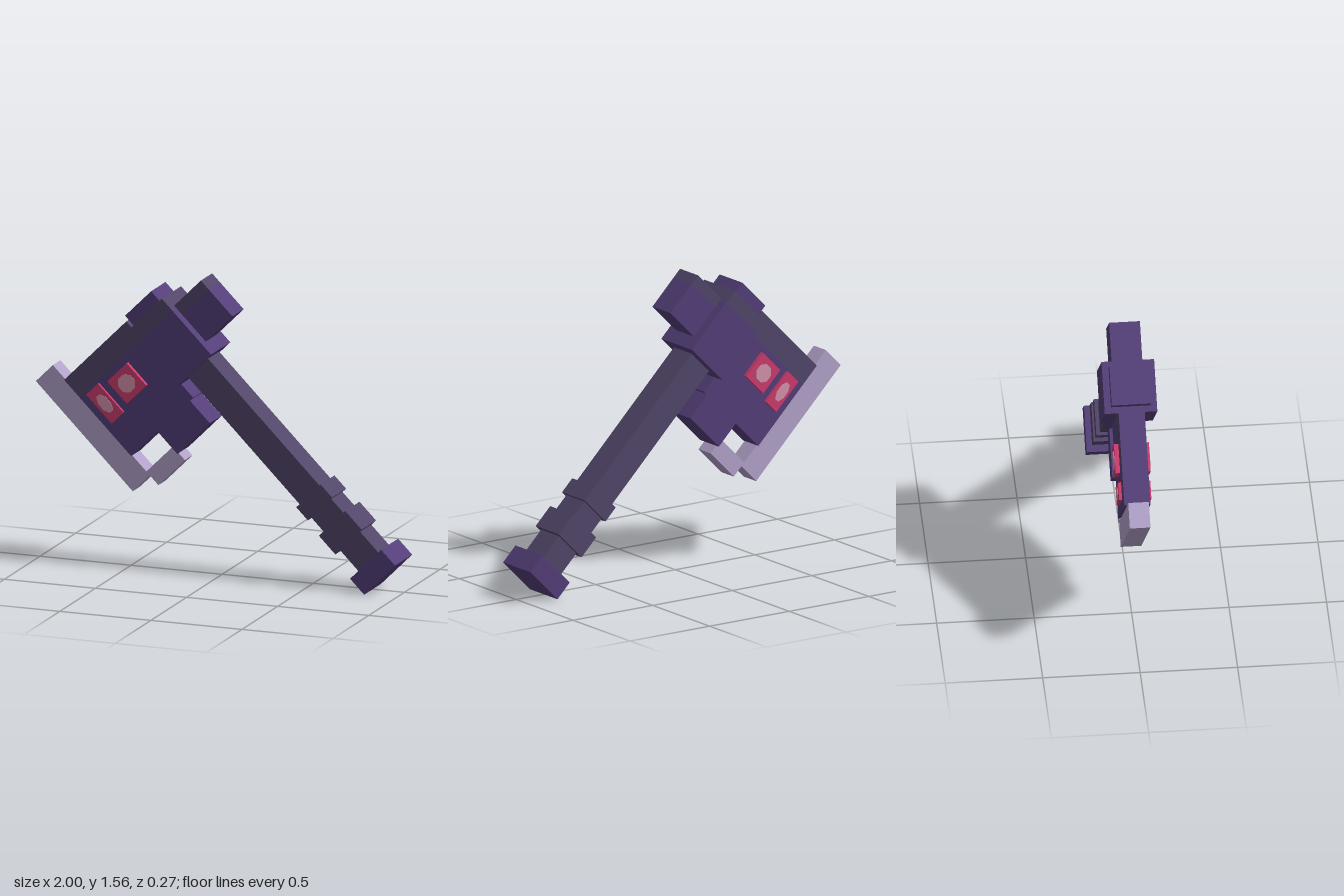
import * as THREE from 'three';

const mat = (name, color) => {
  const m = new THREE.MeshStandardMaterial({ color });
  m.name = name;
  m.flatShading = true;
  return m;
};

export function createModel() {
  const purple = mat('deep purple', 0x543f79);
  const grey = mat('grey purple', 0x52466a);
  const lavender = mat('pale lavender', 0xb2a2ca);
  const red = mat('crimson', 0xcd3c6e);
  const pink = mat('dusty pink', 0xd592ab);

  const model = new THREE.Group();
  model.name = 'axe';
  // Local x runs down the handle, local y runs from blade to back of the head
  const axe = new THREE.Group();
  axe.name = 'tiltedAxe';
  axe.rotation.z = -Math.PI / 4;
  model.add(axe);

  // Box from u0..u1 along the handle, v0..v1 across it, and half depth d
  const block = (name, u0, u1, v0, v1, d, material) => {
    const mesh = new THREE.Mesh(new THREE.BoxGeometry(u1 - u0, v1 - v0, 2 * d), material);
    mesh.name = name;
    mesh.position.set((u0 + u1) / 2, (v0 + v1) / 2, 0);
    axe.add(mesh);
  };

  // Block whose sides have a grey band next to the purple upper end
  const banded = (name, u0, u1, v0, v1, d, band) => {
    block(name + 'Band', u0, u0 + band, v0, v1, d, [grey, purple, grey, grey, grey, grey]);
    block(name, u0 + band, u1, v0, v1, d, purple);
  };

  // Handle, grip rings and pommel
  block('handle', -0.853, 0.471, 0.632, 0.786, 0.078, grey);
  block('upperGripRing', 0.013, 0.103, 0.616, 0.804, 0.098, grey);
  block('lowerGripRing', 0.199, 0.327, 0.607, 0.811, 0.101, grey);
  block('pommel', 0.471, 0.58, 0.588, 0.828, 0.12, purple);

  // Head, from blade side to hammer side
  banded('headBody', -1.28, -0.76, 0.09, 0.572, 0.067, 0.12);
  banded('collar', -1.235, -0.853, 0.572, 0.841, 0.135, 0.08);
  banded('hammerBack', -1.17, -0.925, 0.841, 1.048, 0.079, 0.06);
  block('topCap', -1.303, -1.235, 0.605, 0.807, 0.101, purple);
  block('lowerLug', -0.76, -0.605, 0.302, 0.555, 0.083, purple);

  // Pale cutting edge and its hooked beard
  block('bladeEdge', -1.376, -0.624, -0.041, 0.091, 0.053, lavender);
  block('bladeBeard', -0.65, -0.557, 0.091, 0.297, 0.053, lavender);

  // Gems pass through the head, with a faceted glint on each side
  const gem = (name, u0, u1, v0, v1, d, ru, rv) => {
    block(name, u0, u1, v0, v1, d, red);
    for (const side of [1, -1]) {
      const geo = new THREE.CylinderGeometry(1, 1, 0.004, 8);
      geo.rotateX(Math.PI / 2);
      geo.rotateZ(Math.PI / 8);
      geo.scale(ru, rv, 1);
      const glint = new THREE.Mesh(geo, pink);
      glint.name = name + 'Glint';
      glint.position.set((u0 + u1) / 2, (v0 + v1) / 2, side * (d + 0.001));
      axe.add(glint);
    }
  };
  gem('largeGem', -1.121, -0.969, 0.278, 0.429, 0.09, 0.05, 0.05);
  gem('smallGem', -1.146, -0.949, 0.136, 0.228, 0.083, 0.058, 0.031);

  return model;
}
